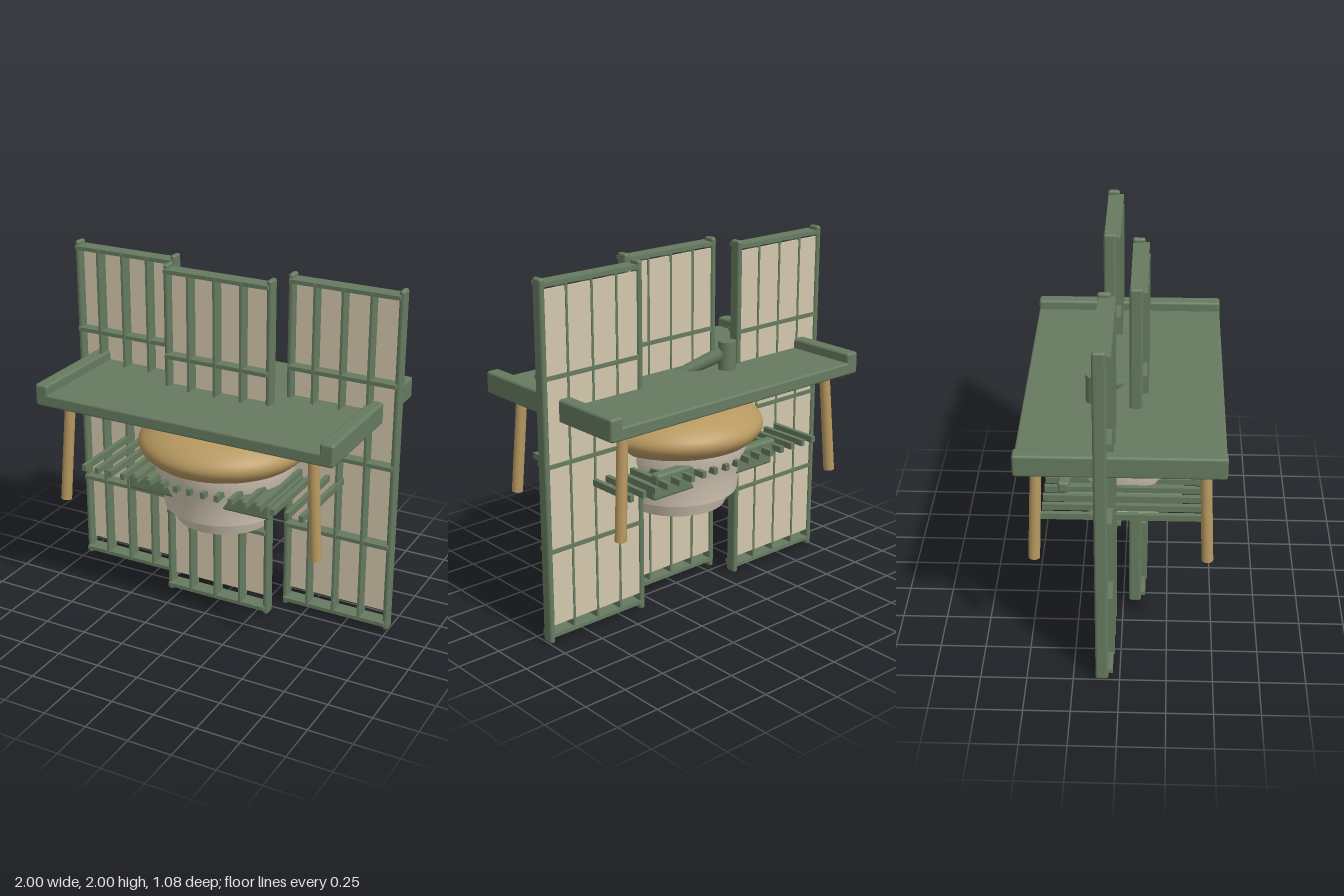
import * as THREE from 'three';
import { RoundedBoxGeometry } from 'three/addons/geometries/RoundedBoxGeometry.js';

function material(name, color) {
  const m = new THREE.MeshStandardMaterial({ color });
  m.name = name;
  return m;
}

export function createModel() {
  const green = material('sage green', 0x667b60);
  const paper = material('rice paper', 0xd3c7ab);
  const cream = material('cream', 0xd5c9b6);
  const gold = material('golden tan', 0xb79860);
  const model = new THREE.Group();
  model.name = 'tableWithScreens';

  const add = (parent, name, geometry, mat, x = 0, y = 0, z = 0) => {
    const mesh = new THREE.Mesh(geometry, mat);
    mesh.name = name;
    mesh.position.set(x, y, z);
    parent.add(mesh);
    return mesh;
  };
  const box = (w, h, d) => new THREE.BoxGeometry(w, h, d);
  const rounded = (w, h, d, r) => new RoundedBoxGeometry(w, h, d, 3, r);
  // Cylinder between two points
  const rod = (parent, name, a, b, ra, rb, mat) => {
    const dir = b.clone().sub(a);
    const mesh = add(parent, name, new THREE.CylinderGeometry(rb, ra, dir.length(), 20), mat);
    mesh.position.copy(a).add(b).multiplyScalar(0.5);
    mesh.quaternion.setFromUnitVectors(new THREE.Vector3(0, 1, 0), dir.normalize());
  };
  const v = (x, y, z) => new THREE.Vector3(x, y, z);

  // Lattice screens: two set back, the middle one forward
  for (const [name, x, z] of [['rightScreen', -0.672, -0.095], ['middleScreen', 0, 0.067], ['leftScreen', 0.672, -0.095]]) {
    const screen = new THREE.Group();
    screen.name = name;
    screen.position.set(x, 0, z);
    for (const s of [-1, 1]) add(screen, 'post', rounded(0.032, 2, 0.07, 0.014), green, s * 0.312, 1, 0);
    for (const y of [0.045, 0.53, 1.005, 1.48, 1.965])
      add(screen, 'rail', box(0.625, 0.022, 0.09), green, 0, y, 0.013);
    for (const k of [-1, 0, 1]) add(screen, 'slat', box(0.014, 1.93, 0.09), green, k * 0.16, 1.005, 0.02);
    add(screen, 'paper', box(0.6, 1.84, 0.012), paper, 0, 1.02, -0.016);
    model.add(screen);
  }

  // Table with raised ends and splayed legs
  const table = new THREE.Group();
  table.name = 'table';
  model.add(table);
  add(table, 'tableTop', rounded(1.78, 0.07, 1.08, 0.012), green, 0, 1.265, 0);
  for (const s of [-1, 1]) {
    add(table, 'endRail', rounded(0.08, 0.125, 1.08, 0.015), green, s * 0.855, 1.293, 0);
    for (const t of [-1, 1])
      rod(table, 'leg', v(s * 0.779, 0.65, t * 0.457), v(s * 0.737, 1.25, t * 0.433), 0.031, 0.03, gold);
  }

  // Bowl with a stepped foot, and its domed lid
  const lathe = pts => new THREE.LatheGeometry(pts.map(p => new THREE.Vector2(...p)), 56);
  add(model, 'bowl', lathe([[0.345, 0.625], [0.358, 0.735], [0.385, 0.82], [0.405, 0.88], [0.41, 0.94]]), cream);
  add(model, 'bowlLedge', new THREE.CircleGeometry(0.345, 56).rotateX(Math.PI / 2), cream, 0, 0.625, 0);
  add(model, 'bowlFoot', new THREE.CylinderGeometry(0.31, 0.28, 0.085, 56), cream, 0, 0.583, 0);
  const lid = new THREE.SplineCurve([[0, 0.91], [0.36, 0.912], [0.45, 0.945], [0.487, 1.005], [0.455, 1.065],
    [0.36, 1.12], [0.2, 1.157], [0, 1.168]].map(p => new THREE.Vector2(...p))).getPoints(36);
  lid.forEach(p => { p.x = Math.max(p.x, 0); });
  lid[0].x = lid[lid.length - 1].x = 0;
  add(model, 'lid', new THREE.LatheGeometry(lid, 56), gold);
  const stem = new THREE.CatmullRomCurve3([v(-0.42, 1.06, 0), v(-0.41, 1.13, 0), v(-0.38, 1.175, 0), v(-0.325, 1.195, 0)]);
  add(model, 'stem', new THREE.TubeGeometry(stem, 16, 0.015, 10), gold);

  // Slatted rack and tray around the bowl
  for (let i = -8; i <= 8; i++) add(model, 'rackBar', box(0.026, 0.036, 0.85), green, i * 0.0842, 0.847, 0);
  add(model, 'tray', rounded(0.88, 0.1, 0.65, 0.015), green, 0, 0.785, 0);
  add(model, 'trayBar', rounded(0.88, 0.07, 0.065, 0.018), green, 0, 0.857, -0.323);

  // Pitcher whose long spout dips through the table
  add(model, 'pitcher', new THREE.CylinderGeometry(0.05, 0.05, 0.17, 28), green, -0.24, 1.375, -0.155);
  rod(model, 'spout', v(-0.22, 1.39, -0.14), v(0.12, 1.2, 0.09), 0.042, 0.025, green);

  return model;
}
